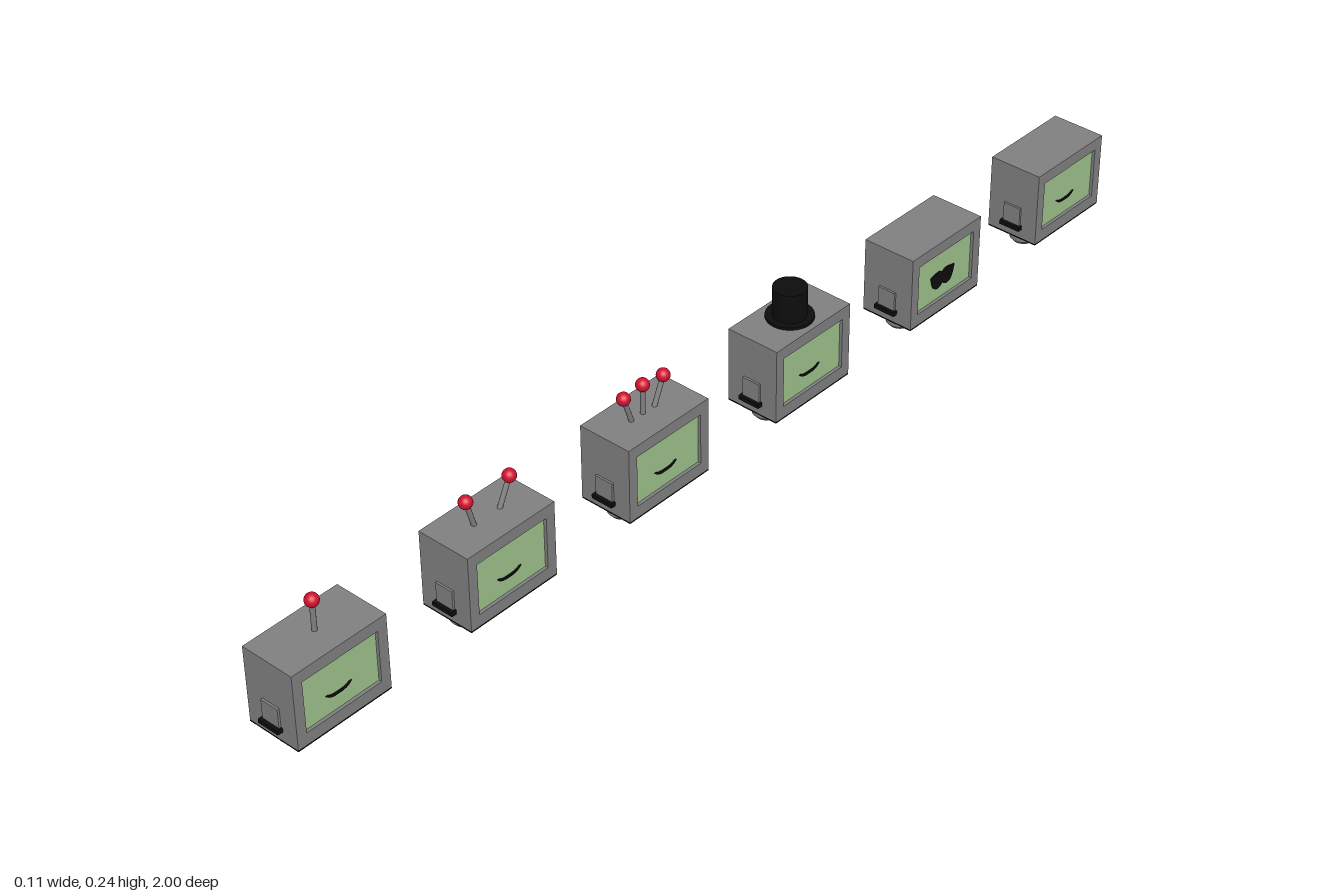
import * as THREE from 'three';

const mat = (name, color, side = THREE.FrontSide) => {
  const m = new THREE.MeshStandardMaterial({ color, side });
  m.name = name;
  return m;
};
const grey = mat('casing grey', 0x808080);
const black = mat('black', 0x0d0d0d);
const red = mat('antenna red', 0xd0102f);
const green = mat('screen green', 0x9dc08b);

const W = 0.105, L = 0.19, Y0 = 0.028, Y1 = 0.17, FACE = W / 2, RECESS = 0.008;

function add(parent, name, geometry, material, x = 0, y = 0, z = 0) {
  const mesh = new THREE.Mesh(geometry, material);
  mesh.name = name;
  mesh.position.set(x, y, z);
  parent.add(mesh);
  return mesh;
}

// Extrudes a shape drawn in the side plane so that it faces +x
function sidePlate(shape, depth) {
  return new THREE.ExtrudeGeometry(shape, { depth, bevelEnabled: false, curveSegments: 8 })
    .rotateY(Math.PI / 2);
}

function rect(Type, x0, y0, x1, y1) {
  return new Type([[x0, y0], [x1, y0], [x1, y1], [x0, y1]].map(p => new THREE.Vector2(...p)));
}

function smileShape() {
  const s = new THREE.Shape();
  s.moveTo(-0.026, 0.004);
  s.quadraticCurveTo(-0.018, -0.006, 0, -0.005);
  s.quadraticCurveTo(0.018, -0.006, 0.026, 0.004);
  s.lineTo(0.021, 0.004);
  s.quadraticCurveTo(0.015, -0.001, 0, 0);
  s.quadraticCurveTo(-0.015, -0.001, -0.021, 0.004);
  return s;
}

function moustacheShape() {
  const s = new THREE.Shape();
  s.moveTo(0, 0.012);
  s.bezierCurveTo(0.01, 0.022, 0.022, 0.014, 0.033, 0.013);
  s.bezierCurveTo(0.03, 0.002, 0.028, -0.014, 0.017, -0.016);
  s.quadraticCurveTo(0.007, -0.018, 0, -0.01);
  s.quadraticCurveTo(-0.007, -0.018, -0.017, -0.016);
  s.bezierCurveTo(-0.028, -0.014, -0.03, 0.002, -0.033, 0.013);
  s.bezierCurveTo(-0.022, 0.014, -0.01, 0.022, 0, 0.012);
  return s;
}

function antenna(parent, baseZ, tipZ, tipY) {
  const a = new THREE.Vector3(0, Y1 - 0.004, baseZ);
  const b = new THREE.Vector3(0, tipY, tipZ);
  const dir = b.clone().sub(a);
  const stem = add(parent, 'antennaStem',
    new THREE.CylinderGeometry(0.0045, 0.0045, dir.length(), 12), grey);
  stem.position.copy(a).addScaledVector(dir, 0.5);
  stem.quaternion.setFromUnitVectors(new THREE.Vector3(0, 1, 0), dir.normalize());
  add(parent, 'antennaBall', new THREE.SphereGeometry(0.012, 20, 14), red, 0, tipY, tipZ);
}

function hat(parent) {
  add(parent, 'hatBrim', new THREE.CylinderGeometry(0.042, 0.042, 0.005, 32), black, 0, Y1 + 0.0025);
  add(parent, 'hatCrown', new THREE.CylinderGeometry(0.03, 0.03, 0.056, 32), black, 0, Y1 + 0.032);
}

// Small computer box: casing, recessed screen on +x, disk slot on +z, two feet
function robot(moustache) {
  const g = new THREE.Group();
  const h = Y1 - Y0, midY = (Y0 + Y1) / 2;
  add(g, 'casing', new THREE.BoxGeometry(W - RECESS, h, L), grey, -RECESS / 2, midY);

  // Frame around the screen
  const frame = rect(THREE.Shape, -L / 2, Y0, L / 2, Y1);
  frame.holes.push(rect(THREE.Path, -0.076, 0.05, 0.076, 0.148));
  add(g, 'screenFrame', sidePlate(frame, RECESS), grey, FACE - RECESS);
  add(g, 'screen', new THREE.BoxGeometry(0.002, 0.098, 0.152), green, FACE - RECESS + 0.001, 0.099);

  // Face on the screen
  const faceX = FACE - RECESS + 0.002;
  if (moustache) add(g, 'moustache', sidePlate(moustacheShape(), 0.002), black, faceX, 0.089, 0.003);
  else add(g, 'mouth', sidePlate(smileShape(), 0.002), black, faceX, 0.083, 0.004);

  // Disk slot with a raised flap
  add(g, 'slotFlap', new THREE.BoxGeometry(0.036, 0.038, 0.004), grey, 0, 0.071, L / 2 + 0.002);
  add(g, 'slotLip', new THREE.BoxGeometry(0.043, 0.008, 0.01), black, 0, 0.05, L / 2 + 0.005);

  // Base plate and feet
  add(g, 'basePlate', new THREE.BoxGeometry(W, 0.003, L), black, 0, Y0 - 0.0015);
  for (const z of [-0.058, 0.058]) {
    add(g, 'foot', new THREE.CylinderGeometry(0.025, 0.025, 0.019, 24), grey, 0, 0.0165, z);
    add(g, 'footTip', new THREE.CylinderGeometry(0.025, 0.019, 0.007, 24), grey, 0, 0.0035, z);
  }
  return g;
}

export function createModel() {
  const model = new THREE.Group();
  model.name = 'robotRow';
  // Antennas per robot: base z, tip z, tip y
  const antennas = [
    [[0, 0, 0.227]],
    [[0.027, 0.043, 0.222], [-0.027, -0.052, 0.219]],
    [[0.03, 0.049, 0.222], [0.004, 0.004, 0.226], [-0.022, -0.045, 0.219]],
  ];
  for (let i = 0; i < 6; i++) {
    const r = robot(i === 4);
    r.name = 'robot' + (i + 1);
    r.position.z = 0.895 - 0.36 * i;
    for (const a of antennas[i] ?? []) antenna(r, ...a);
    if (i === 3) hat(r);
    model.add(r);
  }
  return model;
}
